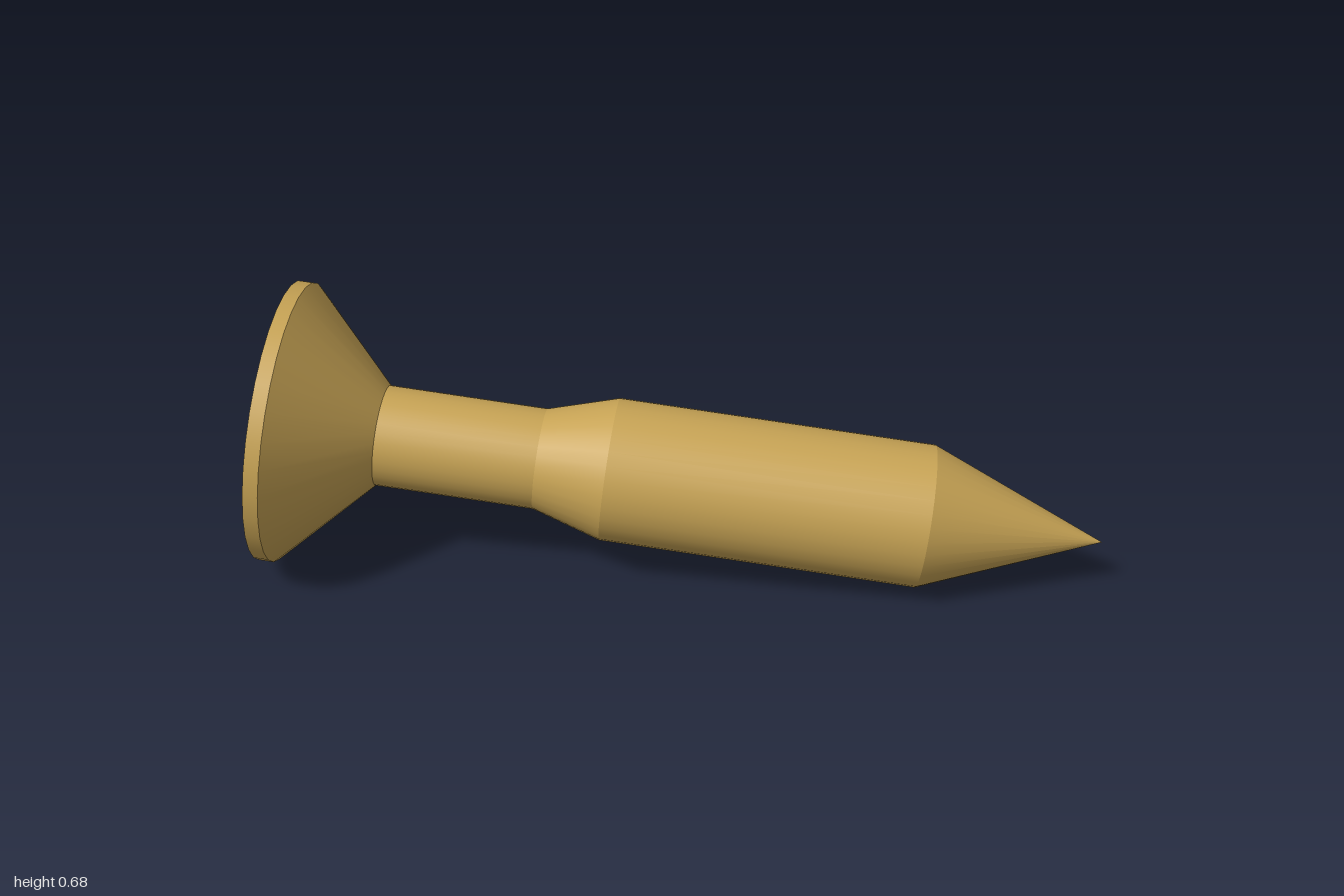
import * as THREE from 'three';

const SEGMENTS = 32;
const HEAD_RADIUS = 0.337;

// Rotate a list of [x, y] pairs about the origin
function rotated(points, angle) {
  const o = new THREE.Vector2();
  return points.map(([x, y]) => new THREE.Vector2(x, y).rotateAround(o, angle));
}

// Walls of a recess sunk into the head face, tapering by scale toward its floor
function recessWalls(outline, depth, scale) {
  const pos = [];
  outline.forEach((p, i) => {
    const n = outline[(i + 1) % outline.length];
    const a = [p.x, 0, p.y], b = [n.x, 0, n.y];
    const c = [n.x * scale, depth, n.y * scale], d = [p.x * scale, depth, p.y * scale];
    pos.push(...a, ...b, ...c, ...a, ...c, ...d);
  });
  const g = new THREE.BufferGeometry();
  g.setAttribute('position', new THREE.Float32BufferAttribute(pos, 3));
  g.computeVertexNormals();
  return g;
}

// Flat shape turned to face away from the tip
function flatFace(shape, depth) {
  return new THREE.ShapeGeometry(shape).rotateX(Math.PI / 2).translate(0, depth, 0);
}

export function createModel() {
  const brass = new THREE.MeshStandardMaterial({ color: 0xc8a455 });
  brass.name = 'brass';
  const screw = new THREE.Group();
  screw.name = 'screw';
  const add = (name, geometry) => {
    const mesh = new THREE.Mesh(geometry, brass);
    mesh.name = name;
    screw.add(mesh);
  };

  // Turned sections: name, start radius, start, end radius, end (along the axis)
  const sections = [
    ['headRim', HEAD_RADIUS, 0, HEAD_RADIUS, 0.035],
    ['headCone', HEAD_RADIUS, 0.035, 0.121, 0.247],
    ['shank', 0.121, 0.247, 0.121, 0.627],
    ['shoulder', 0.121, 0.627, 0.171, 0.794],
    ['body', 0.171, 0.794, 0.171, 1.548],
    ['tip', 0.171, 1.548, 0, 1.97],
  ];
  for (const [name, r0, y0, r1, y1] of sections) {
    add(name, new THREE.LatheGeometry(
      [new THREE.Vector2(r0, y0), new THREE.Vector2(r1, y1)], SEGMENTS));
  }

  // Drive recess outlines: a cross and four thin diagonal ticks
  const cross = [], ticks = [];
  for (let k = 0; k < 4; k++) {
    const turn = k * Math.PI / 2;
    cross.push(...rotated([[0.195, -0.065], [0.195, 0.065], [0.058, 0.058]], turn));
    ticks.push(rotated([[0.1, -0.008], [0.217, -0.008], [0.217, 0.008], [0.1, 0.008]],
      turn + Math.PI / 4));
  }

  // Head face with the recesses cut out
  const rim = [];
  for (let i = 0; i < SEGMENTS; i++) {
    const t = i / SEGMENTS * Math.PI * 2;
    rim.push(new THREE.Vector2(Math.cos(t), Math.sin(t)).multiplyScalar(HEAD_RADIUS));
  }
  const face = new THREE.Shape(rim);
  face.holes.push(new THREE.Path(cross), ...ticks.map(t => new THREE.Path(t)));
  add('headFace', flatFace(face, 0));

  // Recess walls and floors
  const sink = (name, outline, depth, scale) => {
    add(name + 'Walls', recessWalls(outline, depth, scale));
    const floor = outline.map(p => p.clone().multiplyScalar(scale));
    add(name + 'Floor', flatFace(new THREE.Shape(floor), depth));
  };
  sink('crossRecess', cross, 0.16, 0.75);
  ticks.forEach((t, i) => sink('tickRecess' + (i + 1), t, 0.03, 1));

  // Lay the screw along its tilted axis
  const axis = new THREE.Vector3(1.915, -0.22, 0.41).normalize();
  const up = new THREE.Vector3(0, 1, 0).addScaledVector(axis, -axis.y).normalize();
  const side = new THREE.Vector3().crossVectors(axis, up);
  screw.quaternion.setFromRotationMatrix(new THREE.Matrix4().makeBasis(side, axis, up));

  // Centre it and rest it on the ground
  const model = new THREE.Group();
  model.name = 'countersunkScrew';
  model.add(screw);
  model.updateMatrixWorld(true);
  const box = new THREE.Box3().setFromObject(model, true);
  const centre = box.getCenter(new THREE.Vector3());
  screw.position.set(-centre.x, -box.min.y, -centre.z);
  return model;
}
